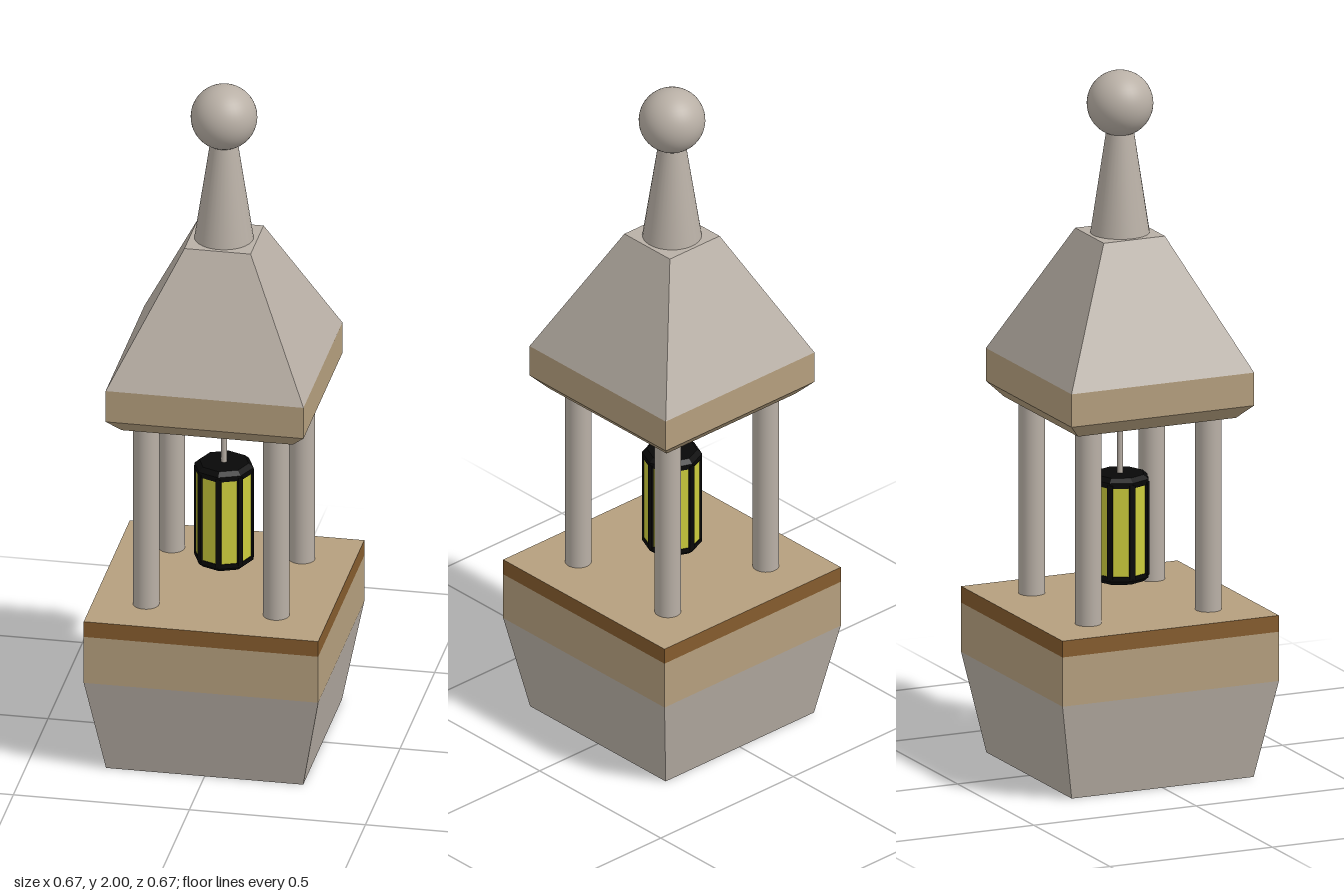
import * as THREE from 'three';

const mat = (name, color) => {
  const m = new THREE.MeshStandardMaterial({ color });
  m.name = name;
  return m;
};

export function createModel() {
  const root = new THREE.Group();
  root.name = 'lanternShrine';
  const stone = mat('stone', 0xb9b0a6);
  const tan = mat('tan', 0xb59f7e);
  const brown = mat('brown', 0x855c2e);
  const black = mat('black', 0x080808);
  const yellow = mat('yellow', 0xcccc3c);

  const add = (parent, name, geometry, material, x = 0, y = 0, z = 0) => {
    const mesh = new THREE.Mesh(geometry, material);
    mesh.name = name;
    mesh.position.set(x, y, z);
    parent.add(mesh);
    return mesh;
  };

  // Faceted prism between two heights, with hard edges
  const facets = (sides, rBottom, rTop, y0, y1, open) => {
    const g = new THREE.CylinderGeometry(rTop, rBottom, y1 - y0, sides, 1, open).toNonIndexed();
    g.computeVertexNormals();
    return g.translate(0, (y0 + y1) / 2, 0);
  };
  // Four sloping or upright walls, given half widths
  const walls = (parent, name, material, h0, h1, y0, y1) =>
    add(parent, name, facets(4, h0 * Math.SQRT2, h1 * Math.SQRT2, y0, y1, true).rotateY(Math.PI / 4), material);
  // Flat square facing up (1) or down (-1)
  const square = (parent, name, material, h, y, dir) =>
    add(parent, name, new THREE.PlaneGeometry(h * 2, h * 2).rotateX(-dir * Math.PI / 2), material, 0, y, 0);

  // Base
  const base = new THREE.Group();
  base.name = 'base';
  root.add(base);
  square(base, 'baseUnderside', stone, 0.28, 0, -1);
  walls(base, 'baseFoot', stone, 0.28, 0.333, 0, 0.283);
  walls(base, 'baseBand', tan, 0.333, 0.333, 0.283, 0.425);
  walls(base, 'baseTrim', brown, 0.333, 0.333, 0.425, 0.472);
  square(base, 'baseFloor', tan, 0.333, 0.472, 1);

  // Four corner pillars
  for (const x of [-1, 1]) for (const z of [-1, 1]) {
    add(root, 'pillar', new THREE.CylinderGeometry(0.037, 0.037, 0.56, 32), stone, x * 0.185, 0.752, z * 0.185);
  }

  // Roof
  const roof = new THREE.Group();
  roof.name = 'roof';
  root.add(roof);
  square(roof, 'roofCeiling', tan, 0.243, 1.03, -1);
  walls(roof, 'roofBevel', tan, 0.243, 0.281, 1.03, 1.07);
  walls(roof, 'roofBand', tan, 0.281, 0.281, 1.07, 1.165);
  walls(roof, 'roofSlope', stone, 0.281, 0.094, 1.165, 1.535);
  square(roof, 'roofTop', stone, 0.094, 1.535, 1);

  // Spire and ball
  add(root, 'spire', new THREE.CylinderGeometry(0.036, 0.083, 0.31, 32), stone, 0, 1.69, 0);
  add(root, 'finialBall', new THREE.SphereGeometry(0.093, 40, 24), stone, 0, 1.907, 0);

  // Hanging eight-sided lantern
  const lantern = new THREE.Group();
  lantern.name = 'lantern';
  root.add(lantern);
  add(lantern, 'hangingRod', new THREE.CylinderGeometry(0.008, 0.008, 0.2, 12), stone, 0, 0.935, 0);
  add(lantern, 'lanternGlass', facets(8, 0.081, 0.081, 0.55, 0.825, true), yellow);
  for (const [name, r0, r1, y0, y1] of [
    ['lanternCapRim', 0.084, 0.084, 0.815, 0.83],
    ['lanternCap', 0.084, 0.07, 0.83, 0.842],
    ['lanternFootRim', 0.084, 0.084, 0.547, 0.56],
    ['lanternFoot', 0.07, 0.084, 0.535, 0.547],
  ]) add(lantern, name, facets(8, r0, r1, y0, y1, false), black);
  for (let i = 0; i < 8; i++) {
    const a = (i * Math.PI) / 4;
    const bar = add(lantern, 'lanternBar', new THREE.BoxGeometry(0.016, 0.27, 0.01), black,
      Math.sin(a) * 0.079, 0.688, Math.cos(a) * 0.079);
    bar.rotation.y = a;
  }

  return root;
}
